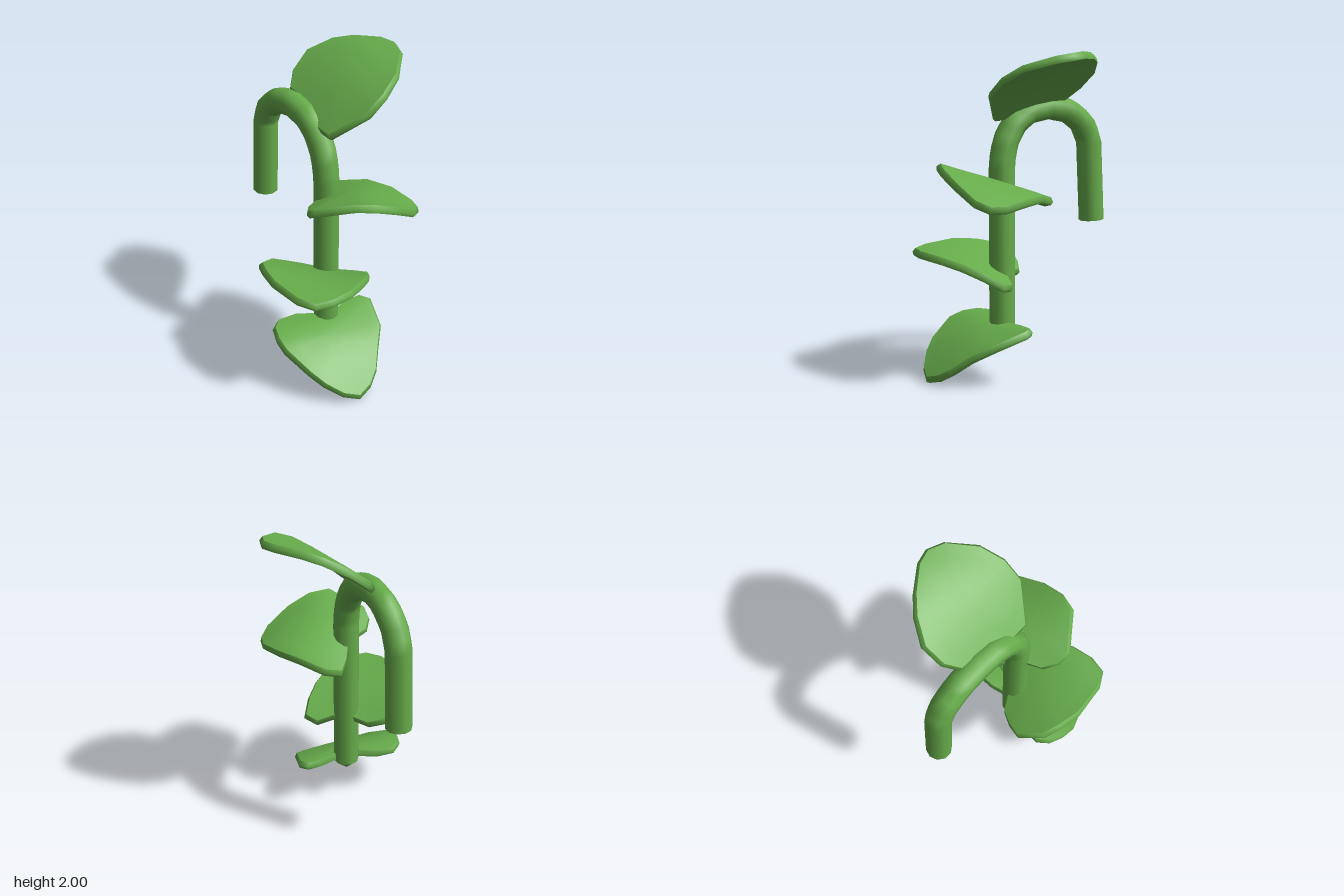
import * as THREE from 'three';

const green = new THREE.MeshStandardMaterial({ color: 0x67ac4b });
green.name = 'leafGreen';

const THICK = 0.045;
const R2 = Math.SQRT1_2;

// Thick curved leaf: plan outline [x, z], with height(x, z) giving its top surface
function leaf(name, outline, height) {
  const n = outline.length;
  let area = 0, cx = 0, cz = 0;
  outline.forEach(([x, z], i) => {
    const [x2, z2] = outline[(i + 1) % n];
    area += z * x2 - x * z2;
    cx += x / n;
    cz += z / n;
  });
  const pts = area > 0 ? outline : [...outline].reverse();

  // Surface point and normal; depth moves it below the top along the normal
  const at = (x, z, depth) => {
    const e = 0.002;
    const normal = new THREE.Vector3(
      (height(x - e, z) - height(x + e, z)) / (2 * e), 1,
      (height(x, z - e) - height(x, z + e)) / (2 * e)).normalize();
    return new THREE.Vector3(x, height(x, z), z).addScaledVector(normal, -depth);
  };
  const pos = [], idx = [];
  const ring = (s, depth) => {
    const start = pos.length / 3;
    for (const [x, z] of pts) pos.push(...at(cx + (x - cx) * s, cz + (z - cz) * s, depth).toArray());
    return start;
  };
  const join = (a, b) => { // inner/upper ring a to outer/lower ring b
    for (let i = 0; i < n; i++) {
      const j = (i + 1) % n;
      idx.push(a + i, b + i, b + j, a + i, b + j, a + j);
    }
  };

  // Top and underside
  for (const [depth, rim, flip] of [[0, 0.95, false], [THICK, 0.985, true]]) {
    const first = idx.length;
    const centre = pos.length / 3;
    pos.push(...at(cx, cz, depth).toArray());
    let prev = ring(rim * 0.25, depth);
    for (let i = 0; i < n; i++) idx.push(centre, prev + i, prev + (i + 1) % n);
    for (const s of [0.5, 0.75, 1]) {
      const next = ring(rim * s, depth);
      join(prev, next);
      prev = next;
    }
    if (flip) for (let k = first; k < idx.length; k += 3) [idx[k + 1], idx[k + 2]] = [idx[k + 2], idx[k + 1]];
  }
  // Rim with its own vertices so the edge stays crisp
  const upper = ring(0.95, 0), middle = ring(1, THICK * 0.5), lower = ring(0.985, THICK);
  join(upper, middle);
  join(middle, lower);

  const geo = new THREE.BufferGeometry();
  geo.setAttribute('position', new THREE.Float32BufferAttribute(pos, 3));
  geo.setIndex(idx);
  geo.computeVertexNormals();
  const mesh = new THREE.Mesh(geo, green);
  mesh.name = name;
  return mesh;
}

function createStem() {
  const stem = new THREE.Group();
  stem.name = 'stem';
  const x = -0.07, r = 0.08;
  const add = (geo, name) => {
    const m = new THREE.Mesh(geo, green);
    m.name = name;
    stem.add(m);
    return m;
  };
  // Upright stalk, hooked arch and hanging end, as [z, y]
  const path = new THREE.CurvePath();
  const v = ([z, y]) => new THREE.Vector3(x, y, z);
  const arch = [[0.13, 1.32], [0.105, 1.45], [0.04, 1.56], [-0.06, 1.63], [-0.21, 1.655],
    [-0.35, 1.63], [-0.47, 1.545], [-0.525, 1.43]].map(v);
  path.add(new THREE.LineCurve3(v([0.13, 0.29]), arch[0]));
  for (let i = 1; i < arch.length; i++) path.add(new THREE.LineCurve3(arch[i - 1], arch[i]));
  path.add(new THREE.LineCurve3(arch[arch.length - 1], v([-0.55, 0.92])));
  add(new THREE.TubeGeometry(path, 40, r, 10, false), 'stalk');

  // Pointed foot and flat cut end
  const foot = add(new THREE.ConeGeometry(r, 0.07, 10, 1, true), 'stalkFoot');
  foot.rotation.x = Math.PI;
  foot.position.set(x, 0.255, 0.13);
  const cap = add(new THREE.CircleGeometry(r, 10), 'stalkEnd');
  cap.rotation.x = Math.PI / 2;
  cap.position.set(x, 0.921, -0.55);
  return stem;
}

export function createModel() {
  const plant = new THREE.Group();
  plant.name = 'plant';
  plant.add(createStem());

  // Lowest leaf, drooping to the front
  plant.add(leaf('bottomLeaf', [
    [-0.16, 0.635], [-0.26, 0.6], [-0.35, 0.53], [-0.41, 0.45], [-0.48, 0.28], [-0.475, 0.18],
    [-0.44, 0.08], [-0.37, 0.02], [-0.25, 0.03], [-0.12, 0.11], [0, 0.13], [0.12, 0.1],
    [0.22, 0.1], [0.26, 0.16], [0.2, 0.36], [0.1, 0.47], [0.02, 0.56], [-0.06, 0.61],
  ], (x, z) => 0.34 + 0.2 * z - 1.1 * z * z));

  // Second leaf, rising to the front right
  plant.add(leaf('lowerLeaf', [
    [-0.45, -0.03], [-0.317, -0.127], [-0.22, -0.1], [-0.13, -0.05], [-0.06, 0.07], [0.03, 0.14],
    [0.13, 0.17], [0.175, 0.25], [0.1, 0.35], [0, 0.44], [-0.12, 0.52], [-0.185, 0.55],
    [-0.325, 0.575], [-0.44, 0.555], [-0.5, 0.45], [-0.525, 0.23], [-0.49, 0.07],
  ], (x, z) => {
    const u = (z - x) * R2, v = (x + z) * R2;
    return 0.59 + 0.65 * u - 0.52 * u * u - 0.07 * v + 0.15 * v * v;
  }));

  // Third leaf, arched over toward the front left
  plant.add(leaf('upperLeaf', [
    [-0.305, 0.25], [-0.245, 0.17], [-0.146, 0.125], [-0.07, 0.08], [0, -0.03], [0.07, -0.11],
    [0.17, -0.09], [0.29, 0.06], [0.365, 0.22], [0.395, 0.385], [0.37, 0.48], [0.295, 0.545],
    [0.13, 0.58], [-0.025, 0.575], [-0.15, 0.53], [-0.31, 0.33],
  ], (x, z) => {
    const u = (x + z) * R2, v = (z - x) * R2;
    return 1.14 + 0.25 * v + 0.49 * u + 0.15 * u * v - 0.95 * u * u;
  }));

  // Top leaf, raised to the left
  plant.add(leaf('topLeaf', [
    [0.02, -0.37], [0.14, -0.39], [0.28, -0.31], [0.375, -0.22], [0.485, -0.08], [0.515, 0.015],
    [0.48, 0.12], [0.34, 0.26], [0.2, 0.32], [0.075, 0.325], [-0.1, 0.185], [-0.105, 0.08],
    [-0.07, 0], [-0.05, -0.12], [-0.05, -0.3],
  ], (x, z) => 1.73 + 0.95 * x - 0.85 * x * x - 0.13 * z));

  return plant;
}
